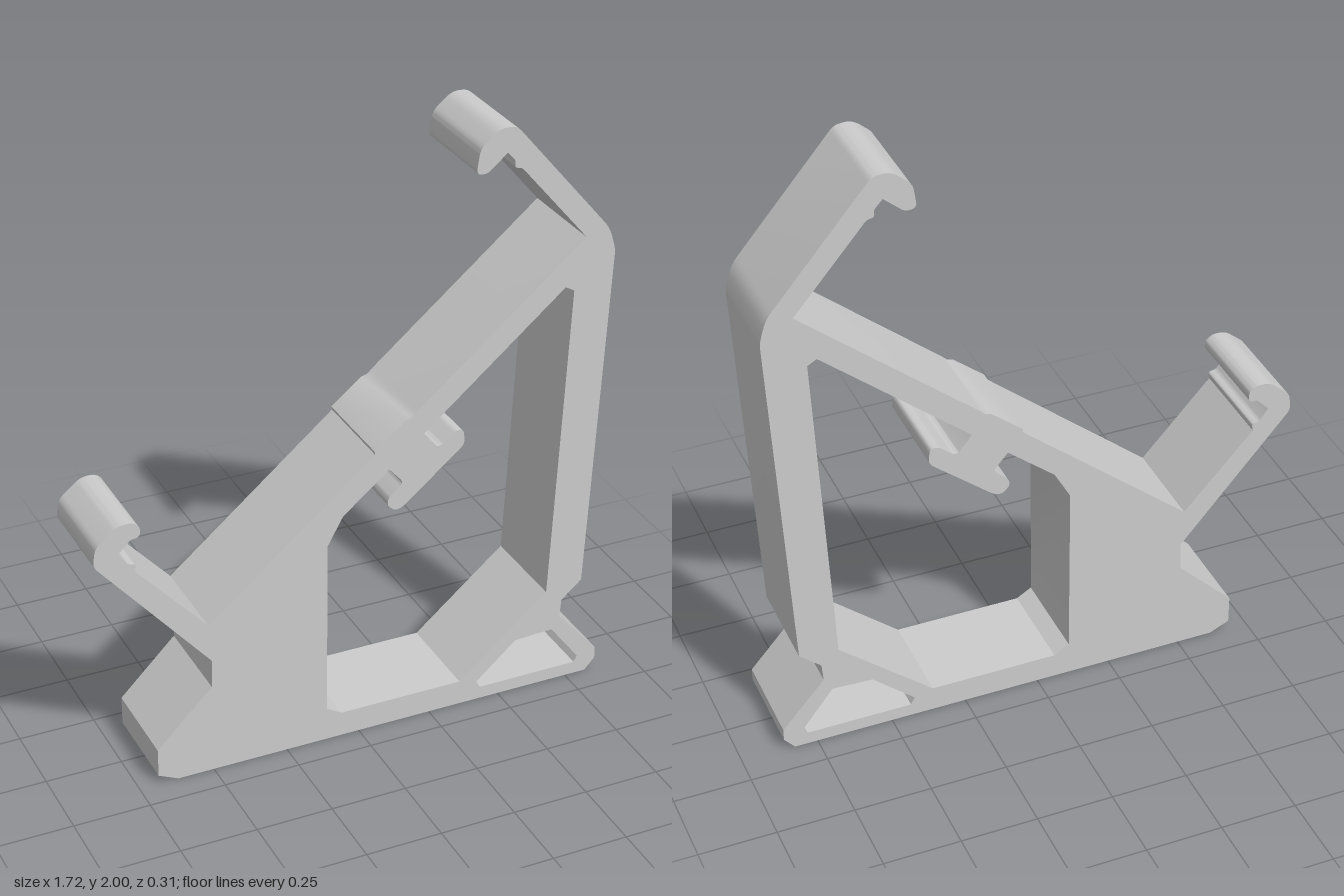
import * as THREE from 'three';
import { toCreasedNormals } from 'three/addons/utils/BufferGeometryUtils.js';

const DEPTH = 0.315;

// Trace a closed loop of [x, y, r]; corners with a radius r are rounded.
function trace(path, pts) {
  const n = pts.length;
  const towards = (a, b, d) => {
    const l = Math.hypot(b[0] - a[0], b[1] - a[1]);
    const t = Math.min(d, l * 0.48) / l;
    return [a[0] + (b[0] - a[0]) * t, a[1] + (b[1] - a[1]) * t];
  };
  pts.forEach((p, i) => {
    const r = p[2] || 0;
    const a = r ? towards(p, pts[(i + n - 1) % n], r) : p;
    if (i === 0) path.moveTo(a[0], a[1]);
    else path.lineTo(a[0], a[1]);
    if (r) {
      const b = towards(p, pts[(i + 1) % n], r);
      path.quadraticCurveTo(p[0], p[1], b[0], b[1]);
    }
  });
  path.closePath();
  return path;
}

// Outer profile, anticlockwise from the bottom left
const foot = [
  [-0.62, 0], [0.825, 0], [0.86, 0.04], [0.86, 0.08], [0.72, 0.24], [0.725, 0.3], [0.795, 0.36],
];
const upperHook = [
  [0.857, 1.53, 0.02], [0.835, 1.605, 0.03], [0.505, 1.995, 0.02], [0.45, 2.0, 0.03],
  [0.385, 1.945, 0.02], [0.373, 1.865, 0.02], [0.41, 1.862, 0.015], [0.475, 1.917],
  [0.503, 1.887, 0.01], [0.5, 1.865, 0.01], [0.525, 1.86, 0.01], [0.755, 1.59],
];
const railLip = [[0.19, 1.117], [0.172, 1.1], [0.152, 1.095], [0.05, 1.012], [0.052, 1.001]];
const lowerHook = [
  [-0.505, 0.535], [-0.735, 0.79], [-0.73, 0.815, 0.01], [-0.757, 0.82, 0.01],
  [-0.785, 0.862], [-0.745, 0.902], [-0.715, 0.905, 0.015], [-0.713, 0.94, 0.015],
  [-0.74, 0.96, 0.015], [-0.785, 0.958, 0.02], [-0.856, 0.9, 0.02], [-0.866, 0.838, 0.02],
];
const heel = [[-0.497, 0.405], [-0.5, 0.31], [-0.685, 0.125], [-0.685, 0.03]];

// Main opening, with the T-shaped clip hanging from the rail
const opening = [
  [-0.11, 0.115], [-0.06, 0.085], [0.36, 0.085], [0.667, 0.345], [0.72, 1.418], [0.69, 1.435],
];
const clip = [
  [0.217, 1.037], [0.262, 0.98, 0.01], [0.278, 0.982, 0.01], [0.325, 1.022, 0.015],
  [0.352, 1.02, 0.015], [0.358, 0.968, 0.02], [0.145, 0.793, 0.02], [0.12, 0.788, 0.015],
  [0.094, 0.812, 0.015], [0.098, 0.838, 0.015], [0.145, 0.878, 0.01], [0.142, 0.89, 0.008],
  [0.1, 0.938],
];
const gusset = [[-0.055, 0.81], [-0.108, 0.715]];

// Small window in the front foot
const footWindow = [
  [0.422, 0.068], [0.435, 0.043], [0.782, 0.043], [0.793, 0.065], [0.693, 0.195], [0.56, 0.189],
];

export function createModel() {
  const group = new THREE.Group();
  group.name = 'stand';

  const profile = trace(new THREE.Shape(), [...foot, ...upperHook, ...railLip, ...lowerHook, ...heel]);
  profile.holes.push(
    trace(new THREE.Path(), [...opening, ...clip, ...gusset]),
    trace(new THREE.Path(), footWindow),
  );

  const geometry = new THREE.ExtrudeGeometry(profile, { depth: DEPTH, bevelEnabled: false, curveSegments: 5 });
  geometry.translate(0, 0, -DEPTH / 2);

  const body = new THREE.Mesh(
    toCreasedNormals(geometry, Math.PI / 6),
    new THREE.MeshStandardMaterial({ color: 0xcccccc }),
  );
  body.name = 'standFrame';
  group.add(body);
  return group;
}
